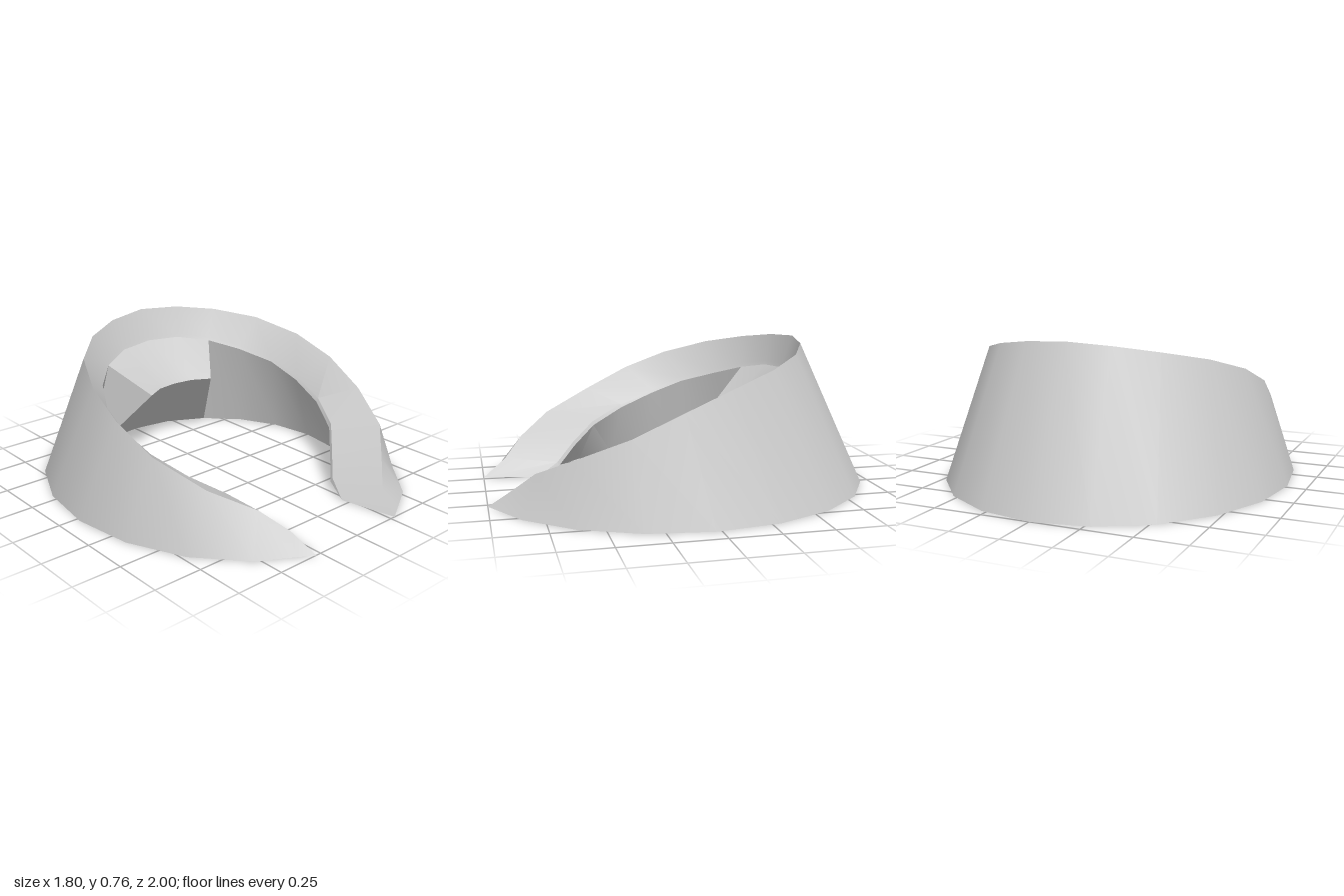
import * as THREE from 'three';
import { toCreasedNormals } from 'three/addons/utils/BufferGeometryUtils.js';

// Open shell, seen from both sides
const grey = new THREE.MeshStandardMaterial({ color: 0xcccccc, side: THREE.DoubleSide });
const STEP = Math.PI / 10;

// Point on a ground ellipse, angle measured from the back
const ground = (i, rx, rz, cz) =>
  new THREE.Vector3(rx * Math.sin(i * STEP), 0, cz - rz * Math.cos(i * STEP));
const outerFoot = (i) => ground(i, 0.9, 1.025, 0.025);
const innerFoot = (i) => ground(i, 0.715, 0.746, 0.001);

// Upper rims from the back round to the open front end: x, y, z
const outerRim = [
  [0, 0.76, -0.65], [0.225, 0.745, -0.61], [0.425, 0.715, -0.51], [0.6, 0.67, -0.335],
  [0.705, 0.6, -0.1], [0.738, 0.51, 0.13], [0.71, 0.395, 0.37], [0.6, 0.285, 0.62],
  [0.43, 0.19, 0.78], [0.325, 0.09, 0.88],
].map((p) => new THREE.Vector3(...p));
const innerRim = [
  [0, 0.61, -0.595], [0.19, 0.6, -0.57], [0.36, 0.565, -0.485], [0.49, 0.515, -0.355],
  [0.585, 0.46, -0.18], [0.61, 0.39, 0], [0.585, 0.315, 0.19], [0.5, 0.235, 0.37],
  [0.37, 0.15, 0.5], [0.27, 0.065, 0.6],
].map((p) => new THREE.Vector3(...p));

// Lower edge of the small chamfer under the inner rim
const chamfer = (p) => new THREE.Vector3(p.x * 0.985, p.y - 0.02, p.z * 0.985);

// Mirror half the sections across x so they run from right to left
function mirrored(half) {
  const flip = (row) => row.map((p) => new THREE.Vector3(-p.x, p.y, p.z));
  return [...half.slice(1).reverse().map(flip), ...half];
}

// Skin a row of cross-sections, optionally with flat ends
function skin(rows, caps = false) {
  const pos = [];
  const tri = (a, b, c) => {
    const area = b.clone().sub(a).cross(c.clone().sub(a)).length();
    if (area > 1e-6) for (const p of [a, b, c]) pos.push(p.x, p.y, p.z);
  };
  const n = rows[0].length;
  for (let r = 0; r < rows.length - 1; r++) {
    for (let j = 0; j < n - 1; j++) {
      const [a, b, c, d] = [rows[r][j], rows[r][j + 1], rows[r + 1][j + 1], rows[r + 1][j]];
      tri(a, b, c);
      tri(a, c, d);
    }
  }
  if (caps) {
    const first = rows[0], last = rows[rows.length - 1];
    for (let j = 1; j < n - 1; j++) {
      tri(last[0], last[j], last[j + 1]);
      tri(first[0], first[j + 1], first[j]);
    }
  }
  const geo = new THREE.BufferGeometry();
  geo.setAttribute('position', new THREE.Float32BufferAttribute(pos, 3));
  return toCreasedNormals(geo, 0.5);
}

function addMesh(group, geometry, name) {
  const mesh = new THREE.Mesh(geometry, grey);
  mesh.name = name;
  group.add(mesh);
}

export function createModel() {
  const group = new THREE.Group();
  group.name = 'slopedCollar';
  const foot = (f, i) => (i < 9 ? f(i) : f(8).lerp(f(9), 0.67));

  // Outer wall and sloped top, tapering to a ground-level edge at the open front
  const outer = outerRim.map((rim, i) =>
    [foot(outerFoot, i), rim, innerRim[i], chamfer(innerRim[i])]);
  outer.push([outerFoot(9), outerFoot(9), innerFoot(9), innerFoot(9)]);
  addMesh(group, skin(mirrored(outer)), 'outerWall');

  // Inner wall on each side, leaving the back open for the bracket
  const inner = innerRim.map((rim, i) => [chamfer(rim), foot(innerFoot, i)]);
  inner.push([innerFoot(9), innerFoot(9)]);
  const innerRows = mirrored(inner);
  addMesh(group, skin(innerRows.slice(0, 9)), 'rightInnerWall');
  addMesh(group, skin(innerRows.slice(12)), 'leftInnerWall');

  // Hollow wedge bracket at the back: sloped top, bevelled lip, raked underside
  const lip = [[0, -0.36], [0.11, -0.345], [0.21, -0.29]];
  const bracket = lip.map(([x, z], i) => [
    chamfer(innerRim[i]),
    new THREE.Vector3(x * 1.06, 0.415, z - 0.03),
    new THREE.Vector3(x, 0.39, z),
    innerFoot(i),
  ]);
  addMesh(group, skin(mirrored(bracket), true), 'innerBracket');

  return group;
}
